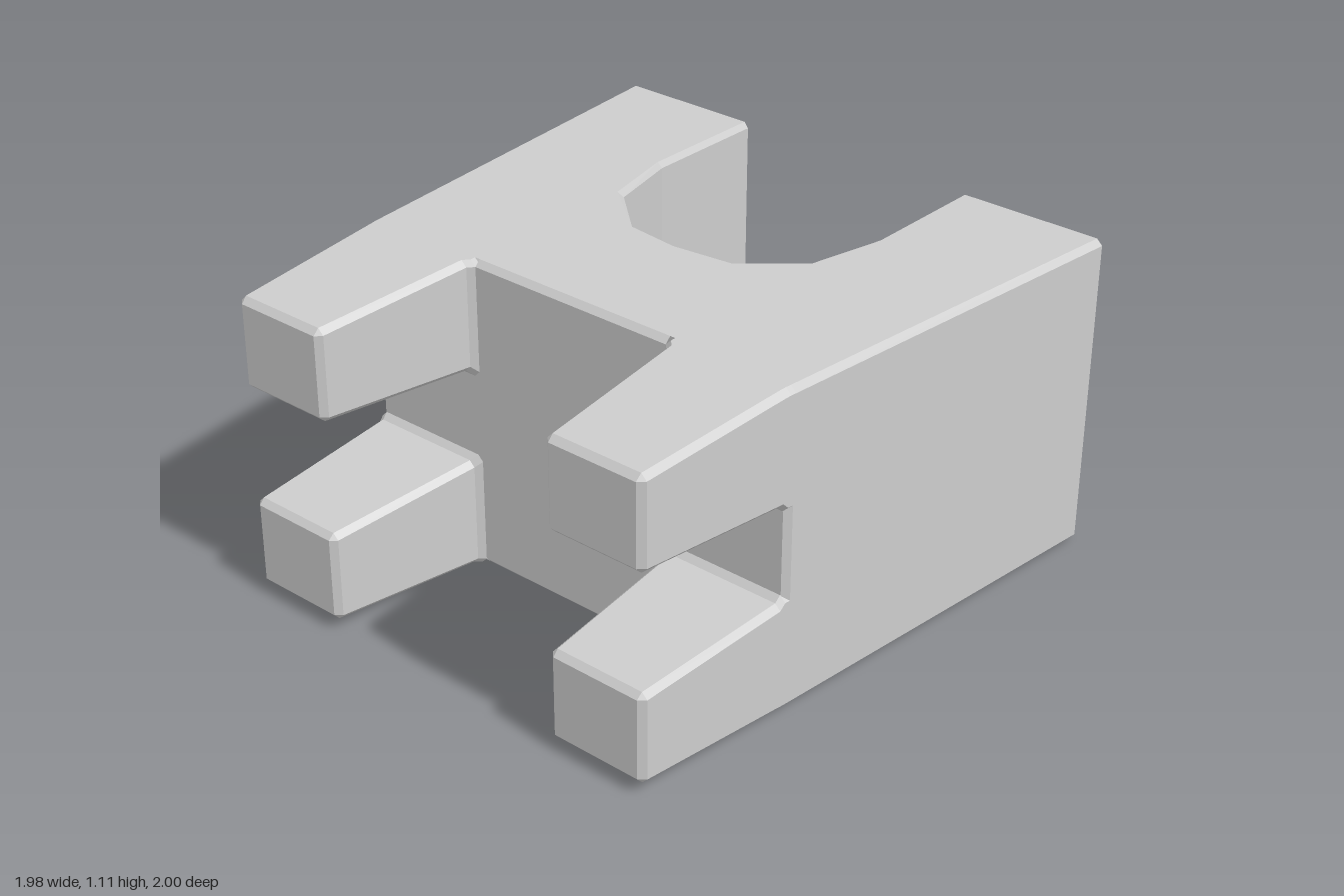
import * as THREE from 'three';

const H = 1.11;   // overall height
const C = 0.02;   // chamfer width

export function createModel() {
  const group = new THREE.Group();
  const grey = new THREE.MeshStandardMaterial({ color: 0xcccccc, side: THREE.DoubleSide });
  grey.name = 'plain grey';

  const add = (name, geometry) => {
    const mesh = new THREE.Mesh(geometry, grey);
    mesh.name = name;
    group.add(mesh);
  };

  // Flat-faced surface through rows of points; flip reverses the facing
  const loft = (rows, { closed = false, cap = false, flip = false } = {}) => {
    const pos = [];
    const tri = (a, b, c) => pos.push(...a, ...(flip ? c : b), ...(flip ? b : c));
    for (let i = 0; i < rows.length - 1; i++) {
      const n = rows[i].length;
      for (let j = 0; j < (closed ? n : n - 1); j++) {
        const k = (j + 1) % n;
        const [a, b, c, d] = [rows[i][j], rows[i][k], rows[i + 1][k], rows[i + 1][j]];
        tri(a, b, c);
        tri(a, c, d);
      }
    }
    if (cap) {
      const end = rows[rows.length - 1];
      for (let j = 1; j < end.length - 1; j++) tri(end[0], end[j], end[j + 1]);
    }
    const g = new THREE.BufferGeometry();
    g.setAttribute('position', new THREE.Float32BufferAttribute(pos, 3));
    g.computeVertexNormals();
    return g;
  };
  const flat = (pts) => new THREE.ShapeGeometry(new THREE.Shape(pts.map(([x, y]) => new THREE.Vector2(x, y))));
  const mirrorX = (pts) => pts.map(([x, ...rest]) => [-x, ...rest]);

  // Plan outlines [x, z]: wall line and the inset edge of the top and bottom
  const half = (pts, mid) => [...pts, mid, ...mirrorX(pts).reverse()];
  const archWall = half([[0.45, -1], [0.45, -0.545], [0.39, -0.285], [0.21, -0.125]], [0, -0.1]);
  const archEdge = half([[0.465, -1], [0.465, -0.54], [0.405, -0.27], [0.22, -0.105]], [0, -0.08]);
  const sideWall = [[0.86, 0.385], [0.99, -1]];
  const sideEdge = [[0.84, 0.385], [0.97, -1]];

  // Upright walls with chamfered top and bottom edges
  const wall = (outer, inner) => [[inner, 0], [outer, C], [outer, H - C], [inner, H]]
    .map(([path, y]) => path.map(([x, z]) => [x, y, z]));
  add('archWall', loft(wall(archWall, archEdge)));
  add('leftSideWall', loft(wall(sideWall, sideEdge)));
  add('rightSideWall', loft(wall(mirrorX(sideWall), mirrorX(sideEdge)), { flip: true }));

  // Top and bottom plates
  const plan = [...sideEdge, ...archEdge, ...mirrorX(sideEdge).reverse()];
  const top = flat(plan.map(([x, z]) => [x, -z])).rotateX(-Math.PI / 2);
  add('topPlate', top.translate(0, H, 0));
  add('bottomPlate', flat(plan).rotateX(Math.PI / 2));

  // Cross-shaped front panel between the prongs
  const zf = 0.405;
  const quarter = [[0.39, C], [0.39, 0.39], [0.41, 0.41], [0.84, 0.41]];
  const rightEdge = [...quarter, ...quarter.map(([x, y]) => [x, H - y]).reverse()];
  add('frontPanel', flat([...rightEdge, ...mirrorX(rightEdge).reverse()]).translate(0, 0, zf));

  // Chamfers around the front panel
  add('panelTopChamfer', loft([
    [[-0.39, H - C, zf], [0.39, H - C, zf]],
    [[-0.39, H, 0.385], [0.39, H, 0.385]],
  ]));
  add('panelBottomChamfer', loft([
    [[-0.39, 0, 0.385], [0.39, 0, 0.385]],
    [[-0.39, C, zf], [0.39, C, zf]],
  ]));
  for (const s of [1, -1]) {
    add('panelSideChamfer', loft([
      [[s * 0.84, 0.39, zf], [s * 0.86, 0.39, 0.385]],
      [[s * 0.84, H - 0.39, zf], [s * 0.86, H - 0.39, 0.385]],
    ], { flip: s < 0 }));
  }

  // Four tapered prongs: chamfered box sections [z, x0, x1, y0, y1, corner]
  const sections = [
    [0.385, 0.39, 0.86, 0, 0.41, C],
    [0.405, 0.39, 0.858, 0, 0.41, C],
    [0.425, 0.41, 0.856, 0.001, 0.39, C],
    [0.98, 0.457, 0.822, 0.037, 0.355, C],
    [1, 0.478, 0.8, 0.058, 0.335, 0],
  ];
  for (const sx of [1, -1]) {
    for (const upper of [false, true]) {
      const rows = sections.map(([z, x0, x1, y0, y1, c]) => [
        [x0 + c, y0], [x1 - c, y0], [x1, y0 + c], [x1, y1 - c],
        [x1 - c, y1], [x0 + c, y1], [x0, y1 - c], [x0, y0 + c],
      ].map(([x, y]) => [sx * x, upper ? H - y : y, z]));
      const name = (upper ? 'upper' : 'lower') + (sx > 0 ? 'Left' : 'Right') + 'Prong';
      add(name, loft(rows, { closed: true, cap: true, flip: (sx < 0) !== upper }));
    }
  }
  return group;
}
